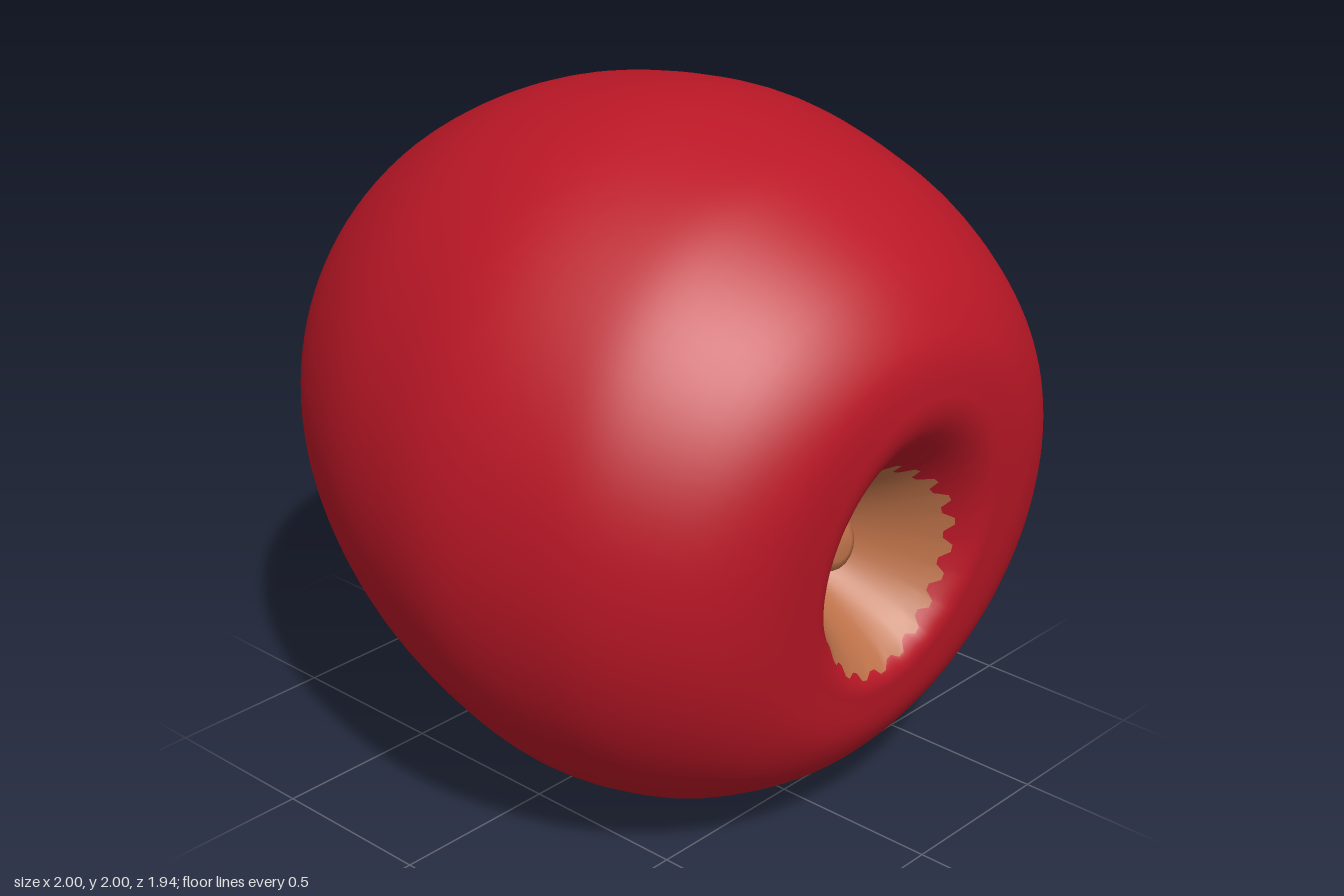
import * as THREE from 'three';

const SEG = 96;

// Meridians of the fruit lying on its side, front rim to back rim: [z, offset]
const TOP = [[.97, 1.34], [.95, 1.5], [.82, 1.68], [.6, 1.84], [.4, 1.93], [.1, 2], [-.2, 1.985],
  [-.45, 1.92], [-.7, 1.79], [-.87, 1.64], [-.95, 1.5], [-.965, 1.36]];
const BOTTOM = [[.835, .45], [.805, .32], [.71, .19], [.58, .1], [.42, .03], [.2, 0], [-.1, .055],
  [-.35, .15], [-.6, .28], [-.8, .44], [-.92, .64], [-.955, .84]];
const LEFT = [[.925, .36], [.915, .53], [.83, .71], [.68, .84], [.46, .94], [.17, 1], [-.12, .97],
  [-.36, .9], [-.62, .77], [-.8, .63], [-.92, .46], [-.95, .28]];
const RIGHT = [[.885, -.36], [.87, -.55], [.78, -.72], [.6, -.87], [.4, -.95], [.12, -1], [-.14, -.97],
  [-.38, -.9], [-.63, -.77], [-.82, -.62], [-.94, -.47], [-.965, -.3]];

const curve = (pts) => new THREE.SplineCurve(pts.map(([z, o]) => new THREE.Vector2(z, o)));
const [top, bottom, left, right] = [TOP, BOTTOM, LEFT, RIGHT].map(curve);

// Point on the outer skin: t runs front to back, a runs round the axis
function skinPoint(t, a) {
  const [T, B, L, R] = [top, bottom, left, right].map((c) => c.getPoint(t));
  const c = Math.cos(a), s = Math.sin(a);
  return new THREE.Vector3(
    (L.y + R.y) / 2 + c * (L.y - R.y) / 2,
    (T.y + B.y) / 2 + s * (T.y - B.y) / 2,
    (c * c * (L.x + R.x) + s * s * (T.x + B.x) + c * (L.x - R.x) + s * (T.x - B.x)) / 2);
}

// Hollow at either end: f = 0 at its floor, 1 at its rim
const FRONT = { t: 0, x: .03, y: .81, z: .9, depth: .42, edge: (a, i) =>
  .68 - .13 * Math.sin(a) + .03 * Math.sin(3 * a + 1) + (i % 4 < 2 ? .025 : -.025) };
const BACK = { t: 1, x: -.02, y: 1.09, z: -.957, depth: -.36, edge: (a, i) =>
  .66 + .03 * Math.sin(2 * a + 1) + (i % 6 < 3 ? .008 : -.008) };

function hollowPoint(h, f, a) {
  const p = skinPoint(h.t, a);
  return new THREE.Vector3(
    h.x + (p.x - h.x) * f,
    h.y + (p.y - h.y) * f,
    h.z + (p.z - h.z) * f - h.depth * (1 - f * f) ** 2.6);
}

function bodyGeometry() {
  const INNER = 9, OUTER = 7, LONG = 60;
  const rows = [];
  // g from 0 to 1 spans the tan floor, 1 to 2 the red wall up to the rim
  const hollowRow = (h, g) => (a, i) => {
    const e = h.edge(a, i);
    return hollowPoint(h, g <= 1 ? Math.max(.01, g * e) : e + (g - 1) * (1 - e), a);
  };
  const steps = [];
  for (let k = 0; k <= INNER; k++) steps.push(k / INNER);
  for (let k = 1; k < OUTER; k++) steps.push(1 + k / OUTER);
  steps.forEach((g) => rows.push(hollowRow(FRONT, g)));
  for (let k = 0; k <= LONG; k++) rows.push((a) => skinPoint(k / LONG, a));
  [...steps].reverse().forEach((g) => rows.push(hollowRow(BACK, g)));

  const pos = [], index = [];
  rows.forEach((row) => {
    for (let i = 0; i < SEG; i++) pos.push(...row(i / SEG * Math.PI * 2, i).toArray());
  });
  for (let j = 0; j < rows.length - 1; j++) {
    for (let i = 0; i < SEG; i++) {
      const n = (i + 1) % SEG, a = j * SEG + i, b = j * SEG + n;
      index.push(a, a + SEG, b, b, a + SEG, b + SEG);
    }
  }
  const geo = new THREE.BufferGeometry();
  geo.setAttribute('position', new THREE.Float32BufferAttribute(pos, 3));
  geo.setIndex(index);
  geo.computeVertexNormals();
  // Tan floors at both ends, red skin between
  const floor = INNER * SEG * 6;
  geo.addGroup(0, floor, 1);
  geo.addGroup(floor, index.length - 2 * floor, 0);
  geo.addGroup(index.length - floor, floor, 1);
  return geo;
}

// Rounded stub growing from one point toward another
function stub(name, from, to, r, material) {
  const a = new THREE.Vector3(...from), d = new THREE.Vector3(...to).sub(a), h = d.length();
  const profile = [[1.3, 0], [1, .3], [.95, .7], [.85, .88], [.55, .98], [0, 1]]
    .map(([x, y]) => new THREE.Vector2(x * r, y * h));
  const mesh = new THREE.Mesh(new THREE.LatheGeometry(profile, 20), material);
  mesh.name = name;
  mesh.position.copy(a);
  mesh.quaternion.setFromUnitVectors(new THREE.Vector3(0, 1, 0), d.normalize());
  return mesh;
}

export function createModel() {
  const red = new THREE.MeshStandardMaterial({ color: 0xba1726 });
  red.name = 'red skin';
  const tan = new THREE.MeshStandardMaterial({ color: 0xbb7048 });
  tan.name = 'tan hollow';

  const group = new THREE.Group();
  group.name = 'apple';
  const body = new THREE.Mesh(bodyGeometry(), [red, tan]);
  body.name = 'body';
  group.add(body);

  group.add(stub('stem', [.03, .8, .47], [0, .85, .67], .095, tan));
  group.add(stub('blossomEnd', [-.02, 1.09, -.58], [-.03, 1.11, -.75], .055, tan));
  return group;
}
